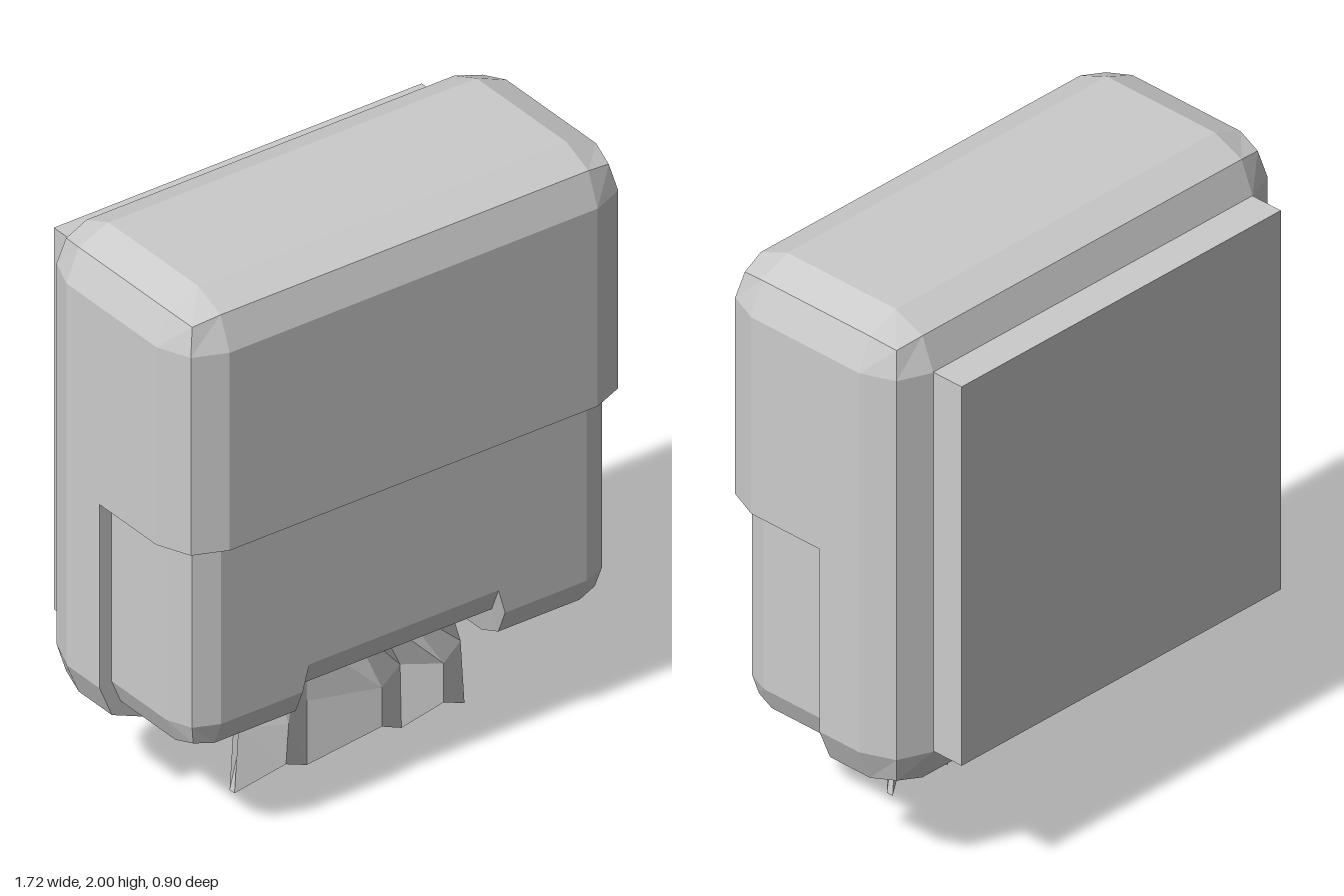
import * as THREE from 'three';
import { RoundedBoxGeometry } from 'three/addons/geometries/RoundedBoxGeometry.js';

const material = new THREE.MeshStandardMaterial({ color: 0xcccccc, flatShading: true });

function addMesh(group, name, geometry) {
  const mesh = new THREE.Mesh(geometry, material);
  mesh.name = name;
  group.add(mesh);
  return mesh;
}

// Skin a solid over closed rings of points, ordered along +x, and cap both ends.
function loft(rings) {
  const collapse = (ring) => {
    const c = new THREE.Vector3();
    ring.forEach((p) => c.addScaledVector(p, 1 / ring.length));
    return ring.map(() => c);
  };
  const all = [collapse(rings[0]), ...rings, collapse(rings[rings.length - 1])];
  const n = rings[0].length;
  const points = [];
  for (let i = 0; i < all.length - 1; i++) {
    for (let j = 0; j < n; j++) {
      const k = (j + 1) % n;
      const a = all[i][j], b = all[i][k], c = all[i + 1][k], d = all[i + 1][j];
      points.push(a, b, c, a, c, d);
    }
  }
  const geometry = new THREE.BufferGeometry().setFromPoints(points);
  geometry.computeVertexNormals();
  return geometry;
}

// The bevelled cover outline, cut flat at a lower and an upper limit.
function coverPart(lower, upper) {
  const geometry = new RoundedBoxGeometry(1.72, 1.69, 0.78, 1, 0.16);
  geometry.translate(0, 1.155, 0.06);
  const pos = geometry.attributes.position;
  const v = new THREE.Vector3();
  for (let i = 0; i < pos.count; i++) {
    v.fromBufferAttribute(pos, i).clamp(lower, upper);
    pos.setXYZ(i, v.x, v.y, v.z);
  }
  geometry.computeVertexNormals();
  return geometry;
}

// Inset lower front with bevelled edges and a raised slot in the middle of its underside.
function lowerFrontGeometry() {
  const radius = 0.12;
  const far = 1e6;
  // z, y of the bevel centre, then the outward direction in z and y
  const profile = [
    [0, 1.13, 0, 0], [0.28, 1.13, 1, 0], [0.28, 0.48, 1, 0],
    [0.28, 0.48, 1, -1], [0.28, 0.48, 0, -1], [0, 0.48, 0, -1],
  ];
  // x, raise of the underside, outward direction in x
  const half = [[0.36, 0.09, 0], [0.385, 0, 0], [0.695, 0, 0], [0.695, 0, 1], [0.695, 0, far]];
  const mirrored = half.map(([x, raise, s]) => [-x, raise, -s]).reverse();
  const rings = [...mirrored, ...half].map(([x, raise, s]) =>
    profile.map(([z, y, dz, dy]) => {
      const dir = new THREE.Vector3(s, dy, dz).normalize();
      const lift = y < 1 ? raise : 0;
      return new THREE.Vector3(x, y + lift, z).addScaledVector(dir, radius);
    }));
  return loft(rings);
}

// Pleated sheet that fans out below the slot, with a zigzag hem.
function paperGeometry() {
  const thickness = 0.025;
  // x at the top, the middle and the hem of each fold
  const folds = [
    [-0.33, -0.425, -0.44], [-0.21, -0.29, -0.3], [-0.18, -0.165, -0.165], [-0.02, 0.065, 0.065],
    [0.07, 0.19, 0.195], [0.16, 0.3, 0.3], [0.34, 0.42, 0.435],
  ];
  const rings = folds.map(([top, middle, hem], i) => {
    const ridge = i % 2 === 1;
    const z = ridge ? 0.2 : 0.125;
    const front = [
      new THREE.Vector3(top, 0.47, 0.145),
      new THREE.Vector3(middle, 0.23, z),
      new THREE.Vector3(hem, ridge ? 0.09 : 0, z),
    ];
    const back = front.map((p) => p.clone().setZ(p.z - thickness)).reverse();
    return [...front, ...back];
  });
  return loft(rings);
}

export function createModel() {
  const model = new THREE.Group();
  model.name = 'towelDispenser';

  // Cover: full-depth top and the rear half below it
  addMesh(model, 'upperCover',
    coverPart(new THREE.Vector3(-1, 1.13, -1), new THREE.Vector3(1, 2, 1)));
  addMesh(model, 'lowerRearCover',
    coverPart(new THREE.Vector3(-1, 0, -1), new THREE.Vector3(1, 1.13, 0)));

  addMesh(model, 'lowerFront', lowerFrontGeometry());
  addMesh(model, 'paperTowel', paperGeometry());

  // Wall plate on the back
  const plate = addMesh(model, 'wallPlate', new THREE.BoxGeometry(1.4, 1.37, 0.14));
  plate.position.set(0, 1.157, -0.38);

  return model;
}
